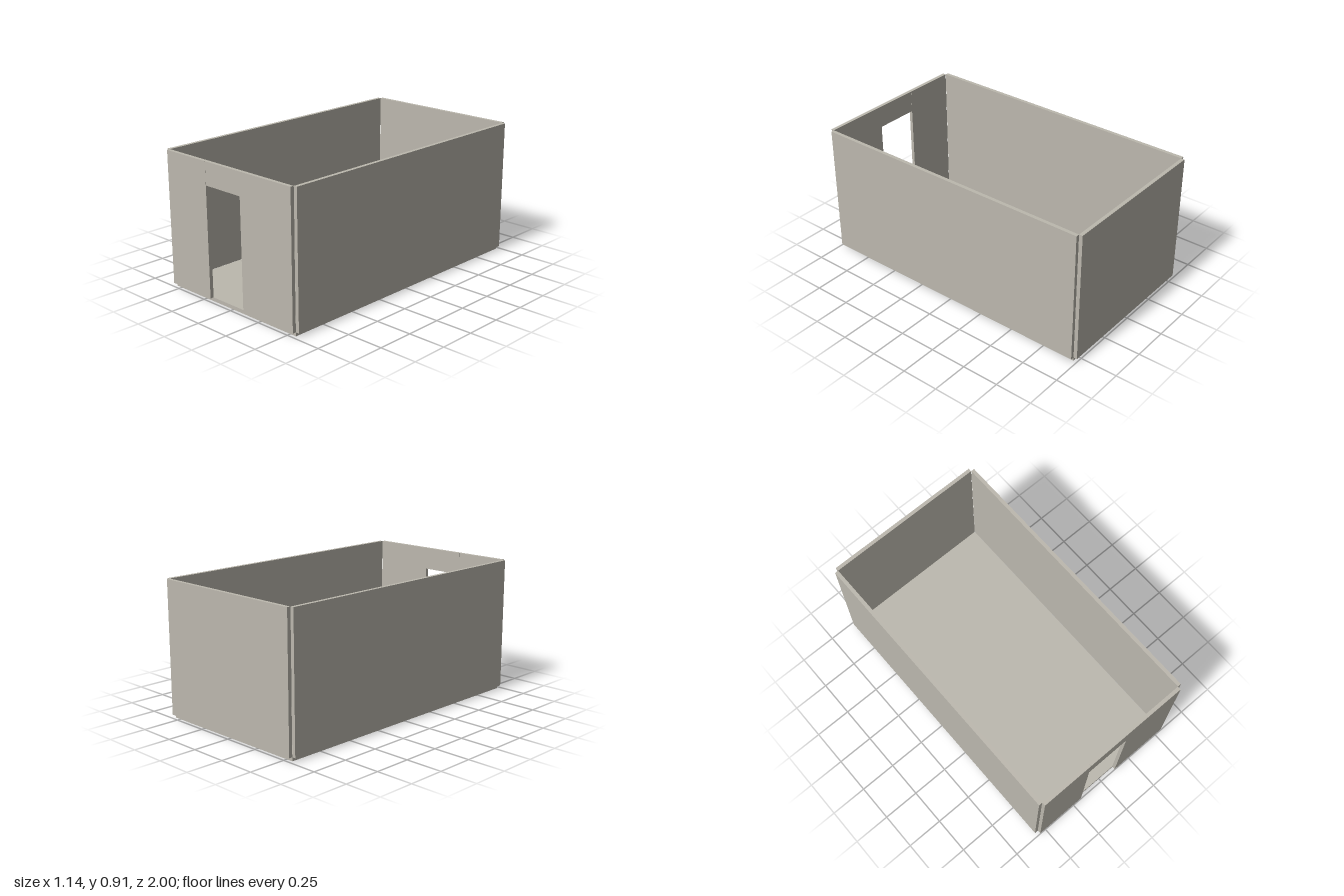
import * as THREE from 'three';

export function createModel() {
  const model = new THREE.Group();
  model.name = 'openRoom';
  const plaster = new THREE.MeshStandardMaterial({ color: 0xbcb8ae });
  plaster.name = 'warm grey plaster';

  // Box given by its minimum and maximum corners
  const slab = (name, [x0, y0, z0], [x1, y1, z1]) => {
    const mesh = new THREE.Mesh(new THREE.BoxGeometry(x1 - x0, y1 - y0, z1 - z0), plaster);
    mesh.position.set((x0 + x1) / 2, (y0 + y1) / 2, (z0 + z1) / 2);
    mesh.name = name;
    model.add(mesh);
  };

  const W = 0.547, D = 0.976, T = 0.024; // half width, half depth, thickness
  const base = 0.025, top = 0.908;
  const doorLeft = 0.12, doorRight = -0.184, doorTop = 0.757;

  slab('floor', [-W, 0, -D], [W, base, D]);

  // Side and back walls stand just outside the floor, leaving notched corners
  slab('leftWall', [W + 0.001, base, -D], [W + 0.025, top, D]);
  slab('rightWall', [-W - 0.025, base, -D], [-W - 0.001, top, D]);
  slab('backWall', [-W, base, -D - T], [W, top, -D]);

  // Front wall panels around the doorway
  slab('frontWallLeft', [doorLeft, base, D], [W, top, D + T]);
  slab('frontWallRight', [-W, base, D], [doorRight - 0.001, top, D + T]);
  slab('doorLintel', [doorRight, doorTop, D], [doorLeft, top, D + T]);

  return model;
}
